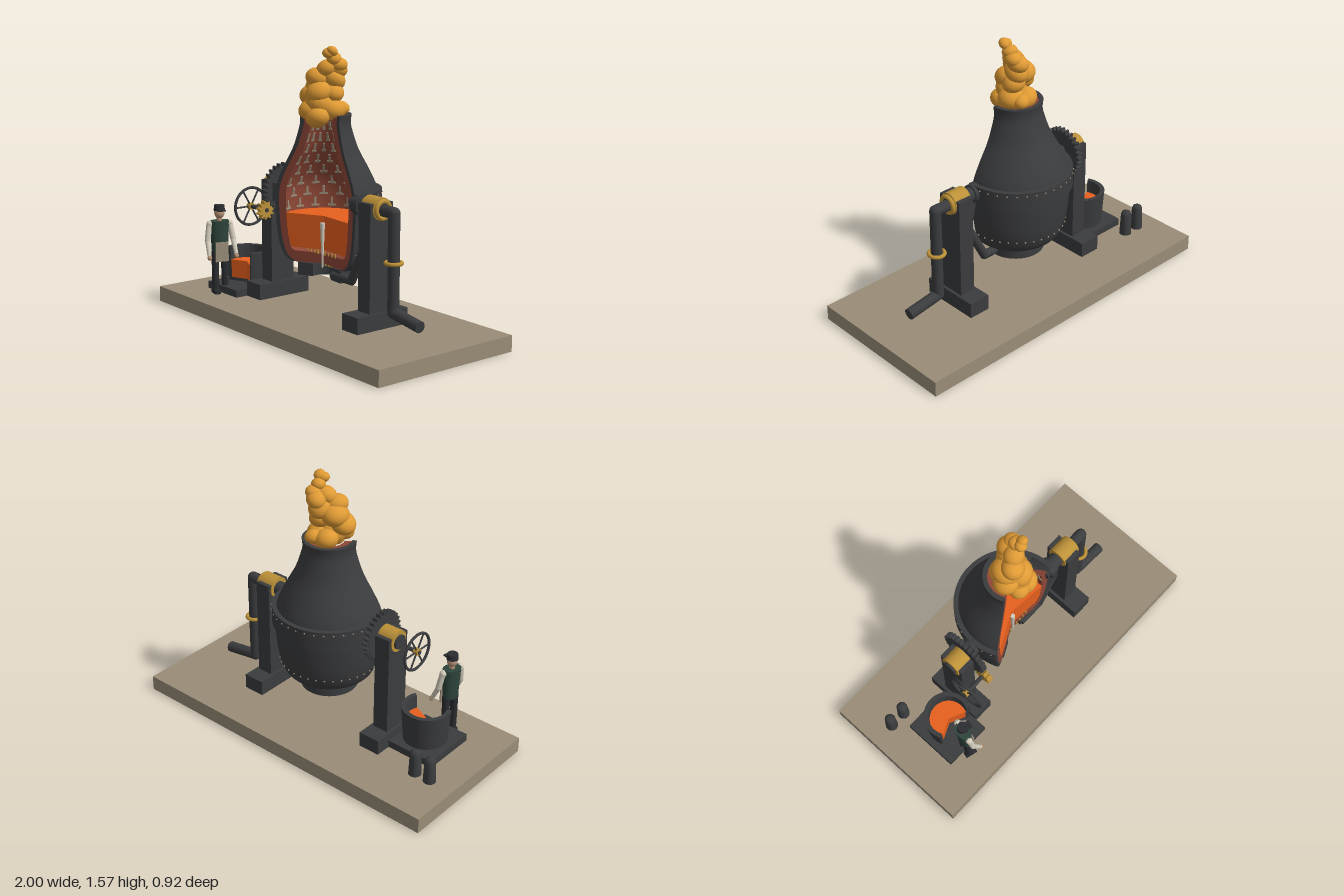
import * as THREE from 'three';
import { toCreasedNormals } from 'three/addons/utils/BufferGeometryUtils.js';

const mat = (name, color) => Object.assign(new THREE.MeshStandardMaterial({ color }), { name });
const V = (x, y, z = 0) => new THREE.Vector3(x, y, z);
const rad = THREE.MathUtils.degToRad;

export function createModel() {
  const root = new THREE.Group();
  root.name = 'converterPlant';
  const stone = mat('stone', 0x9a8d78), iron = mat('iron', 0x3b3c3e), brick = mat('brick', 0x8e4736);
  const molten = mat('moltenMetal', 0xea611e), flame = mat('flame', 0xdf9a34), brass = mat('brass', 0xbc9138);
  const vest = mat('vest', 0x2d443b), cloth = mat('paleCloth', 0xd2cbbb), charcoal = mat('charcoal', 0x2b2d31);
  const skin = mat('skin', 0xb99478);

  const add = (name, geo, m, x = 0, y = 0, z = 0, parent = root) => {
    const mesh = new THREE.Mesh(geo, m);
    mesh.name = name;
    mesh.position.set(x, y, z);
    parent.add(mesh);
    return mesh;
  };
  const box = (name, m, w, h, d, x, y, z, parent) => add(name, new THREE.BoxGeometry(w, h, d), m, x, y, z, parent);
  // Cylinder between two points
  const rod = (name, m, a, b, r, r2 = r, parent = root) => {
    const dir = b.clone().sub(a), mid = a.clone().add(b).multiplyScalar(0.5);
    const mesh = add(name, new THREE.CylinderGeometry(r2, r, dir.length(), 24), m, mid.x, mid.y, mid.z, parent);
    mesh.quaternion.setFromUnitVectors(V(0, 1, 0), dir.normalize());
    return mesh;
  };
  // Run of pipe with ball joints at the bends
  const pipe = (name, m, pts, r) => pts.forEach((p, i) => {
    if (i) rod(name, m, pts[i - 1], p, r);
    if (i && i < pts.length - 1) add(name + 'Elbow', new THREE.SphereGeometry(r, 20, 14), m, p.x, p.y, p.z);
  });
  // Solid of revolution with a wedge cut out; loop runs up the outside, down the inside
  const cutaway = (name, m, loop, start, sweep, x = 0, z = 0) => {
    const g = new THREE.Group();
    g.name = name;
    g.position.set(x, 0, z);
    root.add(g);
    const pts = loop.map(([r, y]) => new THREE.Vector2(r, y));
    const lathe = new THREE.LatheGeometry([...pts, pts[0]], 56, rad(start), rad(sweep));
    add(name + 'Wall', toCreasedNormals(lathe, 0.6), m, 0, 0, 0, g);
    [start, start + sweep].forEach((phi, end) => {
      const cap = new THREE.ShapeGeometry(new THREE.Shape(pts));
      if (end) {
        cap.index.array.reverse();
        cap.computeVertexNormals();
      }
      add(name + 'CutFace', cap, m, 0, 0, 0, g).rotation.y = rad(phi - 90);
    });
  };

  box('basePlate', stone, 2, 0.09, 0.92, 0, 0.045, 0);

  // Vessel: iron shell, brick lining, molten bath
  const START = 85, SWEEP = 212;
  const outer = new THREE.SplineCurve([[0.2, 0.348], [0.25, 0.385], [0.282, 0.47], [0.297, 0.59], [0.302, 0.7],
    [0.29, 0.79], [0.245, 0.89], [0.192, 0.99], [0.16, 1.08], [0.146, 1.14], [0.15, 1.192]]
    .map(p => new THREE.Vector2(...p))).getPoints(40).map(p => [p.x, p.y]);
  const inset = d => outer.map(([r, y]) => [r - d, y]);
  cutaway('vesselShell', iron, [[0.12, 0.345], ...outer, ...inset(0.024).reverse()], START, SWEEP);
  const wall = inset(0.066).filter(p => p[1] > 0.42);
  cutaway('brickLining', brick, [[0, 0.352], ...inset(0.024).map(([r, y]) => [r, Math.min(y, 1.185)]),
    ...wall.map(([r, y]) => [r, Math.min(y, 1.18)]).reverse(), [0.18, 0.41], [0, 0.41]], START, SWEEP);
  cutaway('trunnionBand', iron, [[0.28, 0.68], [0.318, 0.68], [0.318, 0.785], [0.28, 0.785]], START, SWEEP);
  cutaway('windBox', iron, [[0.07, 0.272], [0.162, 0.272], [0.162, 0.345], [0.07, 0.345]], START, SWEEP);
  cutaway('moltenBath', molten, [[0, 0.43], [0.2, 0.43], [0.225, 0.5], [0.234, 0.622], [0, 0.622]], START, SWEEP);
  rod('airJet', cloth, V(0, 0.33, 0.012), V(0, 0.585, 0.012), 0.004, 0.014);
  for (let i = -4; i <= 4; i++) {
    rod('tuyere', brass, V(i * 0.026, 0.33, -0.03), V(i * 0.026, 0.35, -0.03), 0.006);
    if (i) rod('tuyereTip', brass, V(i * 0.028, 0.405, 0.02 - 0.002 * i), V(i * 0.028, 0.428, 0.02 - 0.002 * i), 0.005);
  }

  // Mortar joints on the inside of the lining
  const radiusAt = y => {
    const i = Math.max(1, wall.findIndex(p => p[1] >= y));
    const [a, b] = [wall[i - 1], wall[i]];
    return a[0] + (b[0] - a[0]) * (y - a[1]) / (b[1] - a[1]);
  };
  const joint = (phi, y, w, h) => {
    const r = radiusAt(y) - 0.001;
    const m = box('mortarJoint', stone, w, h, 0.008, r * Math.sin(phi), y, r * Math.cos(phi));
    m.rotation.order = 'YXZ';
    m.rotation.set(Math.atan((radiusAt(y + 0.01) - radiusAt(y - 0.01)) / 0.02), phi, 0);
  };
  for (let row = 0; row < 8; row++) {
    const y = 0.665 + row * 0.065, n = 9;
    for (let i = 0; i < n; i++) {
      const phi = rad(START + SWEEP * (i + (row % 2 ? 0.25 : 0.75)) / n);
      joint(phi, y, 0.012, 0.045);
      joint(phi, y - 0.023, 0.045 * radiusAt(y) / 0.22, 0.011);
    }
  }

  // Rivets on band and lower shell
  for (let i = 0; i < 22; i++) {
    const phi = rad(START + SWEEP * (i + 0.5) / 22);
    for (const [r, y] of [[0.318, 0.765], [0.28, 0.45]])
      add('rivet', new THREE.SphereGeometry(0.005, 8, 6), stone, r * Math.sin(phi), y, r * Math.cos(phi));
  }

  // Posts, bearings and trunnions on both sides
  for (const s of [-1, 1]) {
    box('postFoot', iron, 0.13, 0.09, 0.35, s * 0.435, 0.135, 0);
    box('post', iron, 0.095, 0.68, 0.155, s * 0.435, 0.43, 0);
    rod('bearingCap', brass, V(s * 0.382, 0.738), V(s * 0.488, 0.738), 0.062);
    rod('trunnion', iron, V(s * 0.26, 0.735), V(s * 0.5, 0.735), 0.042);
    rod('trunnionBoss', iron, V(s * 0.28, 0.735), V(s * 0.335, 0.735), 0.052);
  }

  // Air pipes
  pipe('blastPipe', iron, [V(0.43, 0.732), V(0.582, 0.732), V(0.582, 0.2), V(0.79, 0.168)], 0.032);
  add('pipeCollar', new THREE.TorusGeometry(0.043, 0.011, 10, 32), brass, 0.582, 0.467, 0).rotation.x = Math.PI / 2;
  add('elbowCollar', new THREE.TorusGeometry(0.046, 0.013, 10, 32), brass, 0.495, 0.735, 0).rotation.y = Math.PI / 2;
  pipe('windPipe', iron, [V(0.32, 0.72), V(0.36, 0.53), V(0.24, 0.302), V(0.08, 0.302)], 0.025);

  // Tilting gear, pinion and handwheel
  const gear = (name, m, r, depth, n, x, y, z) => {
    const shape = new THREE.Shape();
    for (let i = 0; i < n * 4; i++) {
      const a = i / (n * 4) * Math.PI * 2, q = i % 4 < 2 ? r : r - depth;
      shape[i ? 'lineTo' : 'moveTo'](q * Math.cos(a), q * Math.sin(a));
    }
    const geo = new THREE.ExtrudeGeometry(shape, { depth: 0.032, bevelEnabled: false });
    add(name, geo.translate(0, 0, -0.016), m, x, y, z).rotation.y = Math.PI / 2;
  };
  gear('tiltGear', iron, 0.145, 0.018, 28, -0.37, 0.73, 0);
  gear('pinion', brass, 0.054, 0.014, 11, -0.37, 0.615, 0.135);
  rod('pinionShaft', iron, V(-0.53, 0.615, 0.135), V(-0.35, 0.615, 0.135), 0.012);
  const wheel = new THREE.Group();
  wheel.name = 'handwheel';
  wheel.position.set(-0.51, 0.615, 0.135);
  wheel.rotation.y = Math.PI / 2;
  root.add(wheel);
  add('wheelRim', new THREE.TorusGeometry(0.108, 0.008, 10, 40), iron, 0, 0, 0, wheel);
  for (let i = 0; i < 6; i++) {
    const a = i * Math.PI / 3;
    rod('wheelSpoke', iron, V(0, 0), V(0.108 * Math.cos(a), 0.108 * Math.sin(a)), 0.005, 0.005, wheel);
  }
  rod('wheelHub', brass, V(0, 0, -0.015), V(0, 0, 0.015), 0.02, 0.02, wheel);

  // Ladle on its platform, and ingot moulds
  box('ladlePlatform', iron, 0.29, 0.042, 0.33, -0.645, 0.111, 0.085);
  cutaway('ladle', iron, [[0, 0.132], [0.125, 0.132], [0.138, 0.335], [0.112, 0.335], [0.102, 0.15], [0, 0.15]],
    65, 230, -0.627, 0.085);
  cutaway('ladleMetal', molten, [[0, 0.15], [0.103, 0.15], [0.109, 0.257], [0, 0.257]], 65, 230, -0.627, 0.085);
  const mould = [[0, 0], [0.036, 0], [0.031, 0.13], [0.025, 0.147], [0.012, 0.155], [0, 0.156]];
  for (const x of [-0.85, -0.752])
    add('ingotMould', toCreasedNormals(new THREE.LatheGeometry(mould.map(p => new THREE.Vector2(...p)), 24), 0.9),
      iron, x, 0.09, -0.17);

  // Standing man in cap and apron
  const man = new THREE.Group();
  man.name = 'standingMan';
  man.position.set(-0.665, 0.09, 0.25);
  man.rotation.y = rad(75);
  root.add(man);
  for (const s of [-1, 1]) {
    rod('leg', charcoal, V(s * 0.03, 0.02), V(s * 0.028, 0.25), 0.019, 0.023, man);
    box('boot', charcoal, 0.036, 0.024, 0.07, s * 0.03, 0.012, 0.012, man);
    rod('upperArm', cloth, V(s * 0.062, 0.415), V(s * 0.078, 0.32, 0.012), 0.017, 0.017, man);
    add('elbow', new THREE.SphereGeometry(0.017, 14, 10), cloth, s * 0.078, 0.32, 0.012, man);
    rod('forearm', cloth, V(s * 0.078, 0.32, 0.012), V(s * 0.082, 0.235, 0.055), 0.015, 0.012, man);
    add('hand', new THREE.SphereGeometry(0.014, 14, 10), skin, s * 0.082, 0.225, 0.06, man);
    add('shoulder', new THREE.SphereGeometry(0.02, 14, 10), cloth, s * 0.06, 0.413, 0, man);
  }
  rod('torso', vest, V(0, 0.24), V(0, 0.43), 0.048, 0.058, man).scale.z = 0.68;
  box('apron', stone, 0.078, 0.115, 0.008, 0, 0.25, 0.04, man);
  rod('neck', skin, V(0, 0.42), V(0, 0.46), 0.016, 0.016, man);
  add('head', new THREE.SphereGeometry(0.03, 20, 16), skin, 0, 0.476, 0, man).scale.y = 1.15;
  rod('cap', charcoal, V(0, 0.49), V(0, 0.522), 0.033, 0.03, man);
  box('capPeak', charcoal, 0.045, 0.008, 0.03, 0, 0.494, 0.035, man);

  // Flame plume: overlapping puffs as [x, y, z, radius]
  [[0.03, 1.18, 0.07, 0.065], [-0.03, 1.22, 0.08, 0.058], [0.05, 1.22, -0.02, 0.07], [-0.02, 1.21, -0.05, 0.065],
    [0.04, 1.22, -0.085, 0.045], [0, 1.24, 0.03, 0.085], [-0.07, 1.29, 0.03, 0.068], [0.01, 1.31, 0.05, 0.07],
    [-0.04, 1.34, 0, 0.075], [0.04, 1.31, -0.03, 0.06], [-0.02, 1.39, 0.03, 0.062], [0.03, 1.38, -0.04, 0.065],
    [0.04, 1.43, -0.06, 0.055], [0.02, 1.44, 0, 0.055], [0.065, 1.46, -0.05, 0.045], [0.06, 1.495, -0.02, 0.04],
    [0.055, 1.525, 0.015, 0.032], [0.075, 1.537, 0.005, 0.03]].forEach(([x, y, z, r], i) => {
    const puff = add('flamePuff', new THREE.SphereGeometry(r, 20, 14), flame, x, y, z);
    puff.scale.set(1.08, 0.86, 1);
    puff.rotation.set(0.3 * Math.sin(i * 2.1), i, 0.35);
  });
  return root;
}
